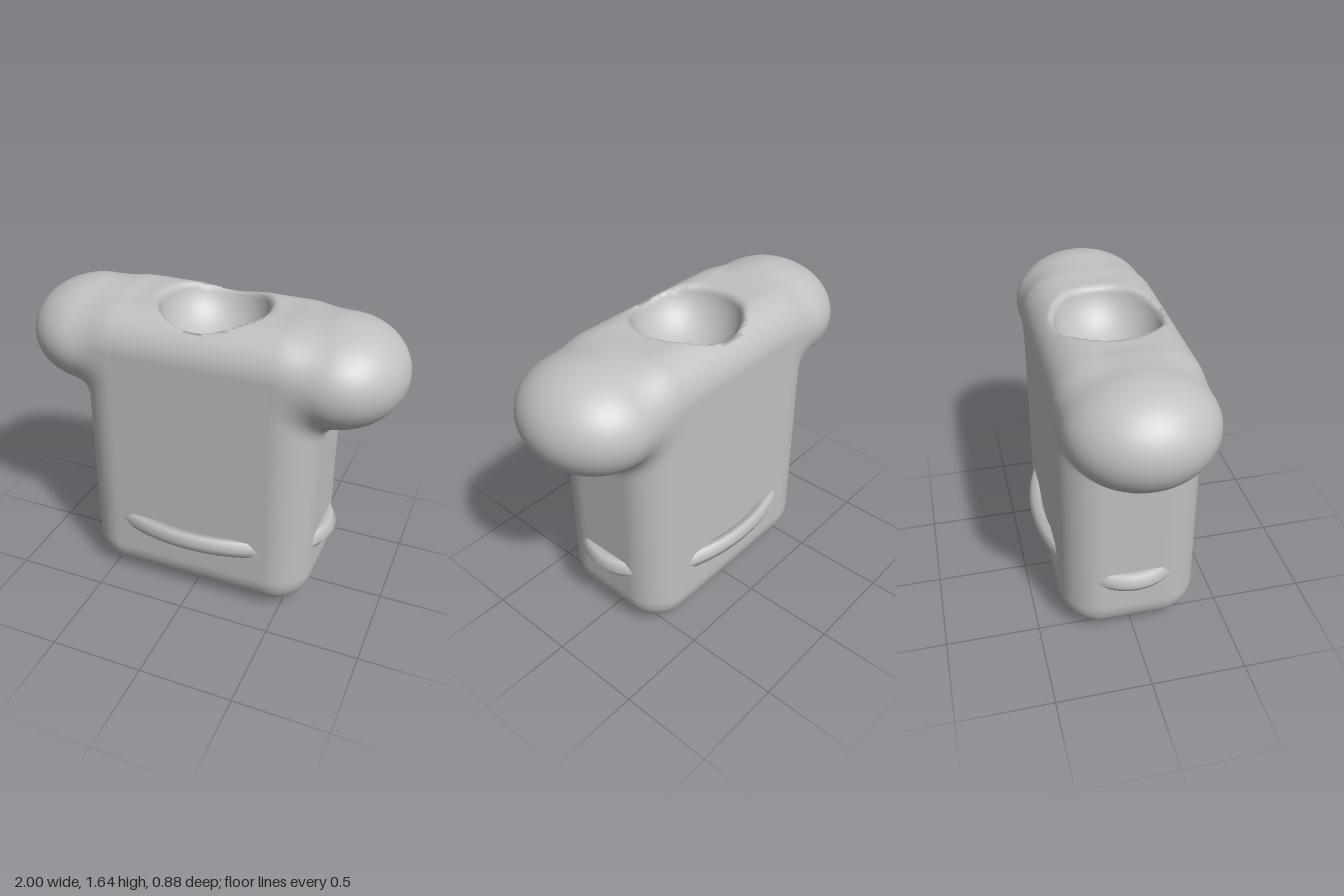
import * as THREE from 'three';

const grey = new THREE.MeshStandardMaterial({ color: 0xc0c0c0 });
grey.name = 'grey';

// Polynomial smooth union; negate the inputs and result for a smooth subtraction.
function blend(a, b, k) {
  const h = Math.max(k - Math.abs(a - b), 0) / k;
  return Math.min(a, b) - h * h * k / 4;
}

// Rounded slab with two side lobes blended in and a bowl scooped out of the top.
function bodyDistance(x, y, z) {
  const ax = Math.abs(x), r = 0.21;
  const qx = ax - 0.635 + r, qy = Math.abs(y - 0.807) - 0.807 + r, qz = Math.abs(z) - 0.366 + r;
  const slab = Math.hypot(Math.max(qx, 0), Math.max(qy, 0), Math.max(qz, 0))
    + Math.min(Math.max(qx, qy, qz), 0) - r;
  const ex = (ax - 0.66) / 0.34, ey = (y - 1.366) / 0.27, ez = z / 0.367;
  const k0 = Math.hypot(ex, ey, ez);
  const k1 = Math.hypot(ex / 0.34, ey / 0.27, ez / 0.367) || 1;
  const lobe = k0 * (k0 - 1) / k1;
  const bowl = Math.hypot(x, y - 1.65, z) - 0.285;
  return -blend(-blend(slab, lobe, 0.09), bowl, 0.035);
}

function gradient(f, p) {
  const e = 0.001;
  return new THREE.Vector3(
    f(p.x + e, p.y, p.z) - f(p.x - e, p.y, p.z),
    f(p.x, p.y + e, p.z) - f(p.x, p.y - e, p.z),
    f(p.x, p.y, p.z + e) - f(p.x, p.y, p.z - e)
  ).divideScalar(2 * e);
}

// Skins a distance function with quads on a regular grid.
function skin(f, min, size, step) {
  const [nx, ny, nz] = size.map((s) => Math.ceil(s / step));
  const id = (i, j, k) => (i * (ny + 1) + j) * (nz + 1) + k;
  const inside = [];
  for (let i = 0; i <= nx; i++) for (let j = 0; j <= ny; j++) for (let k = 0; k <= nz; k++) {
    inside[id(i, j, k)] = f(min[0] + i * step, min[1] + j * step, min[2] + k * step) < 0;
  }
  const positions = [], normals = [], index = [], cells = new Map();

  // One vertex per crossed cell, slid from the cell centre onto the surface
  const vertex = (c) => {
    const key = id(...c);
    if (!cells.has(key)) {
      const p = new THREE.Vector3(...c.map((n, a) => min[a] + (n + 0.5) * step));
      for (let n = 0; n < 5; n++) {
        const g = gradient(f, p);
        p.addScaledVector(g, -f(p.x, p.y, p.z) / Math.max(g.lengthSq(), 0.2));
      }
      cells.set(key, positions.length / 3);
      positions.push(p.x, p.y, p.z);
      normals.push(...gradient(f, p).normalize().toArray());
    }
    return cells.get(key);
  };

  for (let i = 1; i < nx; i++) for (let j = 1; j < ny; j++) for (let k = 1; k < nz; k++) {
    const here = inside[id(i, j, k)];
    for (let a = 0; a < 3; a++) {
      const next = [i, j, k];
      next[a]++;
      if (inside[id(...next)] === here) continue;
      const quad = [[1, 1], [0, 1], [0, 0], [1, 0]].map(([db, dc]) => {
        const c = [i, j, k];
        c[(a + 1) % 3] -= db;
        c[(a + 2) % 3] -= dc;
        return vertex(c);
      });
      if (!here) quad.reverse();
      index.push(quad[0], quad[1], quad[2], quad[0], quad[2], quad[3]);
    }
  }
  const geometry = new THREE.BufferGeometry();
  geometry.setAttribute('position', new THREE.Float32BufferAttribute(positions, 3));
  geometry.setAttribute('normal', new THREE.Float32BufferAttribute(normals, 3));
  geometry.setIndex(index);
  return geometry;
}

export function createModel() {
  const model = new THREE.Group();
  model.name = 'model';

  const body = new THREE.Mesh(skin(bodyDistance, [-1.06, -0.06, -0.44], [2.12, 1.76, 0.88], 0.025), grey);
  body.name = 'body';
  model.add(body);

  // Six-sided oval ring that breaks through the four walls
  const ringGeometry = new THREE.TorusGeometry(0.645, 0.06, 6, 48);
  ringGeometry.scale(1, 0.627, 0.92).rotateX(-Math.PI / 2);
  const ring = new THREE.Mesh(ringGeometry, grey);
  ring.name = 'beltRing';
  ring.position.y = 0.397;
  model.add(ring);

  return model;
}
